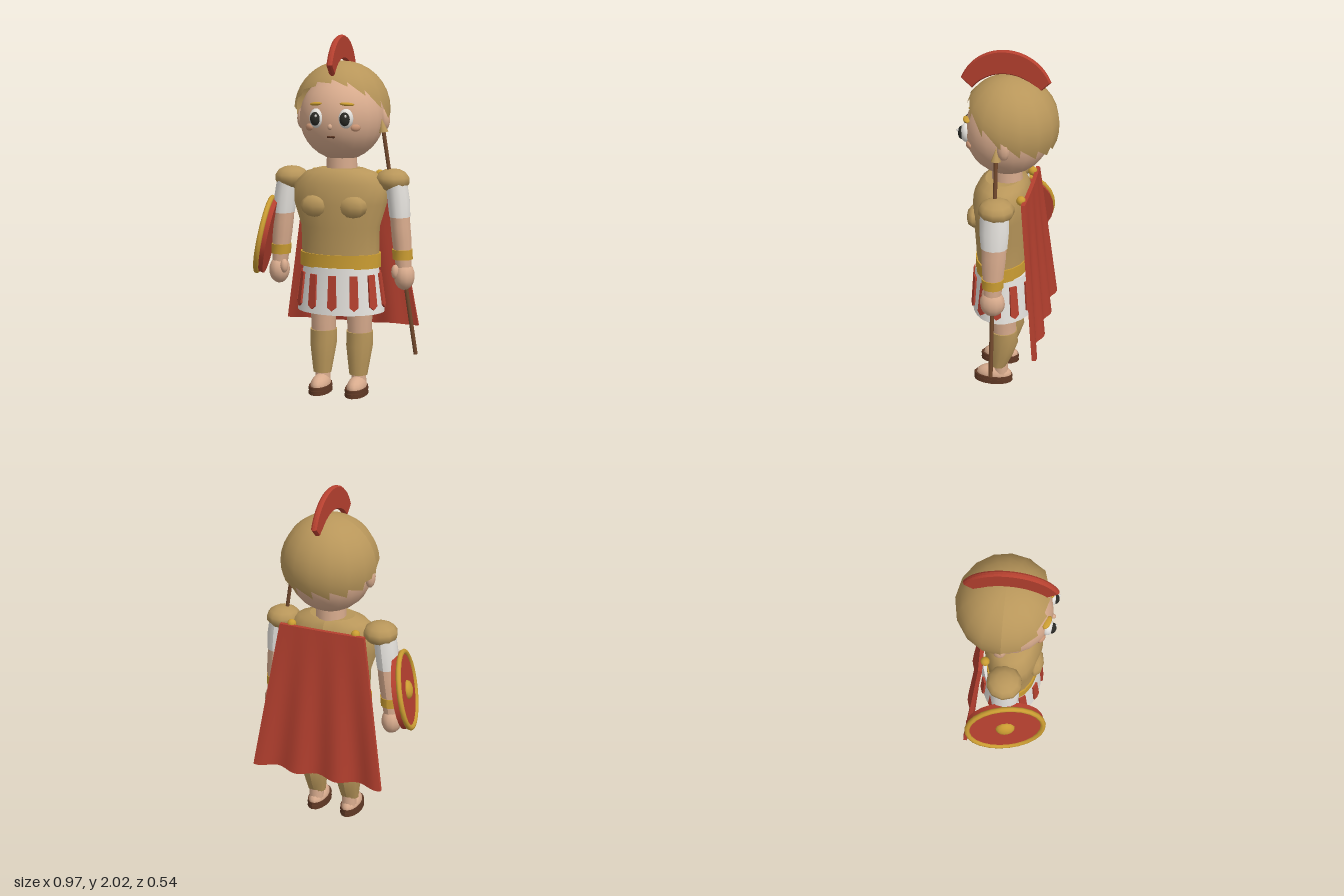
import * as THREE from 'three';

const mat = (name, color) => Object.assign(new THREE.MeshStandardMaterial({ color }), { name });

export function createModel() {
  const bronze = mat('bronze', 0xb8965a), skin = mat('skin', 0xd8ab8d), red = mat('red', 0xb5402f);
  const gold = mat('gold', 0xcb9d32), white = mat('white cloth', 0xe4e1dc), wood = mat('wood', 0x71482c);
  const leather = mat('leather', 0x5c3623), dark = mat('dark eye', 0x2a2a26), blush = mat('blush', 0xc99474);
  const bronzeOpen = mat('helmet bronze', 0xb8965a);
  bronzeOpen.side = THREE.DoubleSide;

  const model = new THREE.Group();
  model.name = 'soldier';
  const body = new THREE.Group();
  body.name = 'body';
  body.position.x = 0.03;
  model.add(body);

  const add = (name, geo, material, pos = [0, 0, 0], parent = body) => {
    const mesh = new THREE.Mesh(geo, material);
    mesh.name = name;
    mesh.position.set(...pos);
    parent.add(mesh);
    return mesh;
  };
  // Ellipsoid with three radii
  const ball = (name, material, pos, r, w = 16, h = 12) => {
    const mesh = add(name, new THREE.SphereGeometry(1, w, h), material, pos);
    mesh.scale.set(...r);
    return mesh;
  };
  // Elliptical cross-sections from top to bottom: [y, rx, rz, zCentre, xCentre]
  const loft = (rows, seg = 20) => {
    const n = rows.length - 1;
    const geo = new THREE.CylinderGeometry(1, 1, 1, seg, n, false, Math.PI);
    const p = geo.attributes.position;
    for (let i = 0; i < p.count; i++) {
      const [y, rx, rz, zc = 0, xc = 0] = rows[Math.round((0.5 - p.getY(i)) * n)];
      p.setXYZ(i, p.getX(i) * rx + xc, y, p.getZ(i) * rz + zc);
    }
    geo.computeVertexNormals();
    return geo;
  };

  // Head and face
  ball('head', skin, [0, 1.55, 0], [0.235, 0.238, 0.235], 20, 16);
  add('neck', new THREE.CylinderGeometry(0.083, 0.088, 0.14, 14), skin, [0, 1.29, 0.005]);
  ball('nose', skin, [0, 1.51, 0.235], [0.013, 0.016, 0.014], 10, 8);
  const mouth = add('mouth', new THREE.CapsuleGeometry(0.006, 0.034, 3, 6), leather, [0, 1.455, 0.215]);
  mouth.rotation.z = Math.PI / 2;
  for (const s of [1, -1]) {
    ball('eyeWhite', white, [s * 0.083, 1.555, 0.213], [0.04, 0.053, 0.032]).rotation.y = s * 0.3;
    ball('pupil', dark, [s * 0.083, 1.553, 0.236], [0.028, 0.037, 0.022]).rotation.y = s * 0.2;
    ball('eyeGlint', white, [s * 0.083 + 0.01, 1.57, 0.256], [0.007, 0.008, 0.006], 8, 6);
    ball('eyebrow', gold, [s * 0.087, 1.632, 0.208], [0.04, 0.01, 0.02], 10, 6).rotation.set(0, s * 0.35, -s * 0.08);
    ball('cheek', blush, [s * 0.13, 1.505, 0.188], [0.028, 0.02, 0.014], 10, 8).rotation.y = s * 0.6;
    ball('ear', skin, [s * 0.238, 1.54, -0.02], [0.03, 0.06, 0.035], 10, 8);
  }

  // Helmet: a sphere whose rim is high in front and low behind
  const helmet = new THREE.SphereGeometry(0.268, 16, 10);
  const hp = helmet.attributes.position, v = new THREE.Vector3();
  for (let i = 0; i < hp.count; i++) {
    v.fromBufferAttribute(hp, i);
    const phi = Math.atan2(v.x, v.z);
    const rim = (94.5 - 32 * Math.cos(phi) - 6.5 * Math.cos(2 * phi)) / 180;
    const theta = Math.acos(THREE.MathUtils.clamp(v.y / 0.268, -1, 1)) * rim;
    v.setFromSphericalCoords(0.268, theta, phi);
    hp.setXYZ(i, v.x, v.y, v.z);
  }
  helmet.computeVertexNormals();
  add('helmet', helmet, bronzeOpen, [0, 1.592, -0.01]);

  // Crest: a curved band standing along the helmet
  const band = new THREE.Shape();
  band.absarc(0, 1.74, 0.253, 0.4, Math.PI - 0.4, false);
  band.absarc(0, 1.64, 0.237, Math.PI - 0.69, 0.69, true);
  const crestGeo = new THREE.ExtrudeGeometry(band, {
    depth: 0.012, bevelThickness: 0.01, bevelSize: 0.007, bevelSegments: 1, curveSegments: 14 });
  crestGeo.translate(0, 0, -0.006).rotateY(Math.PI / 2);
  add('crest', crestGeo, red, [0, 0, 0.012]);

  // Torso armour and belt
  add('breastplate', loft([
    [1.272, 0.13, 0.1, 0.025], [1.25, 0.2, 0.13, 0.025], [1.19, 0.268, 0.155, 0.03], [1.08, 0.265, 0.162, 0.032],
    [0.95, 0.225, 0.152, 0.03], [0.8, 0.222, 0.145, 0.028], [0.73, 0.222, 0.145, 0.028]]), bronze);
  for (const s of [1, -1]) ball('chestPlate', bronze, [s * 0.108, 1.072, 0.165], [0.083, 0.062, 0.045], 8, 6);
  add('belt', loft([[0.802, 0.232, 0.152, 0.028], [0.725, 0.232, 0.152, 0.028]]), gold);

  // Skirt with hanging strips
  add('skirt', loft([[0.73, 0.213, 0.165, 0.02], [0.47, 0.25, 0.18, 0.02]], 24), white);
  const flap = new THREE.Shape();
  [[-0.021, 0.095], [0.021, 0.095], [0.025, -0.08], [0, -0.1], [-0.025, -0.08]].forEach(([x, y], i) =>
    i ? flap.lineTo(x, y) : flap.moveTo(x, y));
  const flapGeo = new THREE.ExtrudeGeometry(flap, { depth: 0.011, bevelEnabled: false });
  for (let i = 0; i < 12; i++) {
    const a = i * Math.PI / 6, sn = Math.sin(a), cs = Math.cos(a);
    const strip = add('skirtStrip', flapGeo, red, [sn * 0.232, 0.595, cs * 0.173 + 0.02]);
    strip.rotation.set(-0.06 - 0.08 * sn * sn, Math.atan2(sn / 0.232, cs / 0.173), 0, 'YXZ');
  }

  // Arms and legs, mirrored
  for (const s of [1, -1]) {
    const side = rows => rows.map(([y, rx, rz, zc, xc]) => [y, rx, rz, zc, s * xc]);
    ball('shoulderGuard', bronze, [s * 0.292, 1.21, 0.01], [0.098, 0.065, 0.1], 10, 7);
    add('sleeve', loft(side([[1.2, 0.058, 0.078, 0.015, 0.315], [1.1, 0.062, 0.08, 0.015, 0.328],
      [1.01, 0.058, 0.073, 0.015, 0.336]]), 12), white);
    add('arm', loft(side([[1.05, 0.055, 0.069, 0.015, 0.332], [0.96, 0.055, 0.067, 0.015, 0.34],
      [0.88, 0.055, 0.062, 0.018, 0.348], [0.72, 0.044, 0.048, 0.02, 0.362]]), 12), skin);
    add('bracelet', loft(side([[0.83, 0.057, 0.062, 0.02, 0.352], [0.775, 0.055, 0.059, 0.02, 0.355]]), 14), gold);
    ball('hand', skin, [s * 0.365, 0.68, 0.02], [0.058, 0.078, 0.07], 12, 10);
    ball('thumb', skin, [s * 0.323, 0.708, 0.062], [0.023, 0.04, 0.026], 10, 8);

    add('thigh', loft(side([[0.55, 0.078, 0.082, 0.01, 0.106], [0.4, 0.07, 0.074, 0.01, 0.106],
      [0.33, 0.068, 0.072, 0.005, 0.106]]), 14), skin);
    add('greave', loft(side([[0.35, 0.077, 0.08, 0.008, 0.106], [0.27, 0.077, 0.084, 0.008, 0.106],
      [0.18, 0.064, 0.067, 0.022, 0.106], [0.105, 0.053, 0.045, 0.035, 0.106]]), 12), bronze);
    add('ankle', new THREE.CylinderGeometry(0.041, 0.046, 0.11, 12), skin, [s * 0.106, 0.085, 0.025]);
    ball('foot', skin, [s * 0.106, 0.04, 0.065], [0.053, 0.058, 0.105], 14, 10);
    add('sandalSole', loft(side([[0.022, 0.06, 0.112, 0.07, 0.106], [0, 0.063, 0.115, 0.07, 0.106]]), 16), leather);
    add('sandalWelt', loft(side([[0.042, 0.06, 0.113, 0.07, 0.106], [0.026, 0.063, 0.115, 0.07, 0.106]]), 16), leather);
    ball('capeClasp', gold, [s * 0.19, 1.228, -0.105], [0.026, 0.026, 0.026], 10, 8);
  }

  // Cape: a thin sheet that widens, leans back and ripples toward the hem
  const cape = new THREE.BoxGeometry(2, 1, 0.022, 28, 10, 1);
  const cp = cape.attributes.position;
  for (let i = 0; i < cp.count; i++) {
    const u = cp.getX(i), t = 0.5 - cp.getY(i);
    const lean = -0.125 - 0.077 * t + 0.016 * t * Math.cos(u * 10) - 0.006 * Math.cos(u * 1.5);
    cp.setXYZ(i, u * (0.25 + 0.145 * t), 1.23 - 0.875 * t + 0.006 * t * Math.cos(u * 10), cp.getZ(i) + lean);
  }
  cape.computeVertexNormals();
  add('cape', cape, red);

  // Round shield, tilted outward, forward and slightly up
  const shield = new THREE.Group();
  shield.name = 'shield';
  shield.position.set(-0.418, 0.88, 0.033);
  shield.quaternion.setFromUnitVectors(new THREE.Vector3(0, 1, 0), new THREE.Vector3(-0.95, 0.2, 0.19).normalize());
  model.add(shield);
  add('shieldDisc', new THREE.CylinderGeometry(0.212, 0.218, 0.042, 24), red, [0, -0.02, 0], shield);
  const rim = add('shieldRim', new THREE.TorusGeometry(0.214, 0.015, 8, 24), gold, [0, 0, 0], shield);
  rim.rotation.x = Math.PI / 2;
  const boss = add('shieldBoss', new THREE.SphereGeometry(0.055, 12, 8), gold, [0, 0, 0], shield);
  boss.scale.y = 0.55;

  // Spear held in the left hand
  const top = new THREE.Vector3(0.272, 1.475, 0.02), foot = new THREE.Vector3(0.463, 0.24, 0.02);
  const spear = new THREE.Group();
  spear.name = 'spear';
  spear.position.copy(top).add(foot).multiplyScalar(0.5);
  spear.quaternion.setFromUnitVectors(new THREE.Vector3(0, 1, 0), top.clone().sub(foot).normalize());
  model.add(spear);
  const length = top.distanceTo(foot);
  add('spearShaft', new THREE.CylinderGeometry(0.011, 0.012, length, 8), wood, [0, 0, 0], spear);
  add('spearHead', new THREE.ConeGeometry(0.027, 0.075, 8), bronze, [0, length / 2 + 0.035, 0], spear);

  return model;
}
